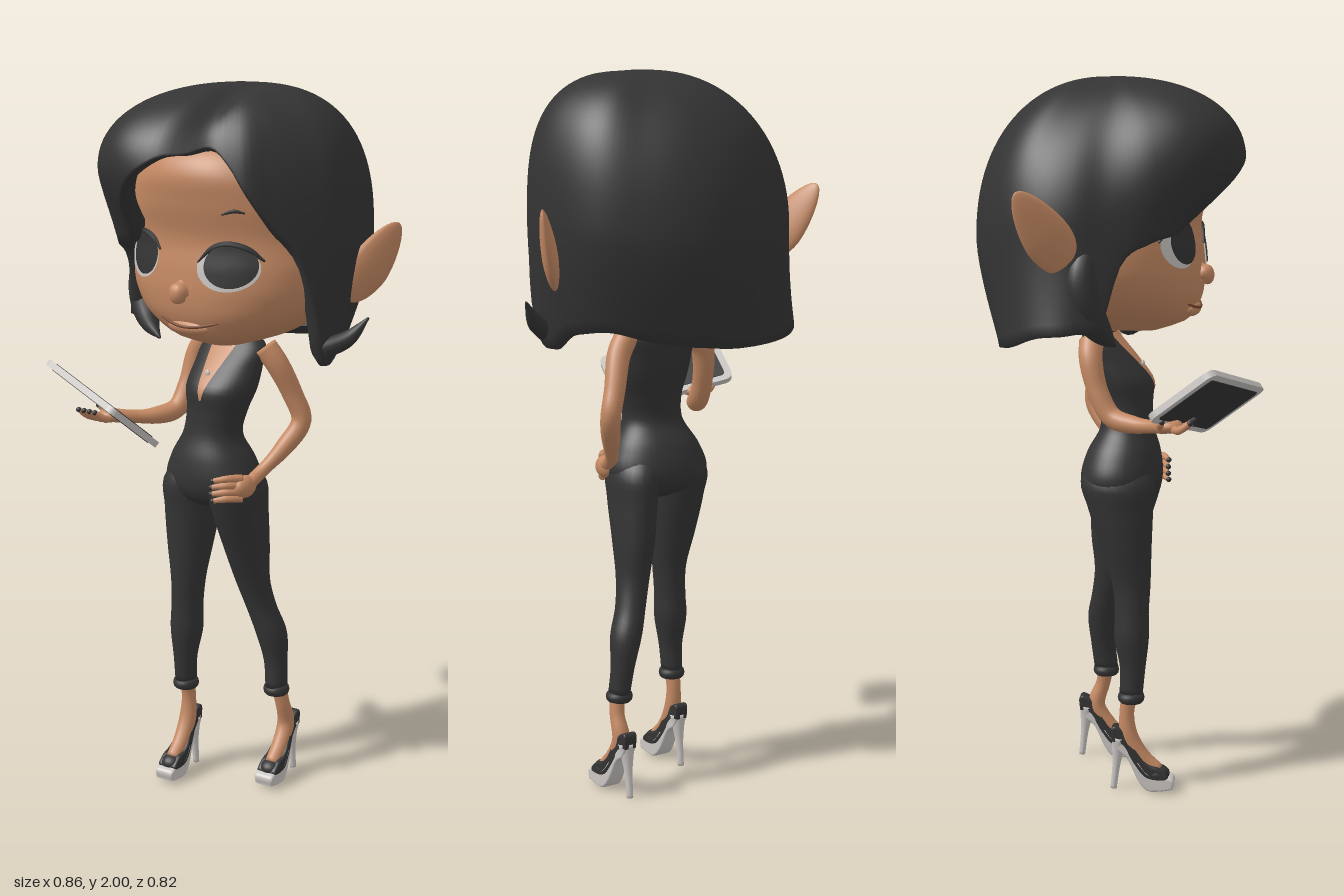
import * as THREE from 'three';

const V = (p) => new THREE.Vector3(...p);
const mat = (name, color, side = THREE.DoubleSide) => {
  const m = new THREE.MeshStandardMaterial({ color, side });
  m.name = name;
  return m;
};

// Smooth interpolation of table rows [key, ...values]
function spline(table) {
  const size = table[0].length - 1;
  const it = new THREE.CubicInterpolant(table.map((r) => r[0]), table.flatMap((r) => r.slice(1)), size, new Array(size).fill(0));
  return (k) => [...it.evaluate(k)];
}

// Surface through closed rings, with optional end caps
function skinRings(rings, caps = true) {
  const n = rings[0].length, pos = rings.flat().flatMap((p) => [p.x, p.y, p.z]), index = [];
  for (let i = 0; i < rings.length - 1; i++) for (let j = 0; j < n; j++) {
    const a = i * n + j, b = i * n + (j + 1) % n;
    index.push(a, b, a + n, b, b + n, a + n);
  }
  if (caps) for (const end of [0, rings.length - 1]) {
    const c = rings[end].reduce((s, p) => s.add(p), new THREE.Vector3()).divideScalar(n);
    const k = pos.length / 3;
    pos.push(c.x, c.y, c.z);
    for (let j = 0; j < n; j++) {
      const a = end * n + j, b = end * n + (j + 1) % n;
      if (end) index.push(a, b, k); else index.push(b, a, k);
    }
  }
  const g = new THREE.BufferGeometry();
  g.setAttribute('position', new THREE.Float32BufferAttribute(pos, 3));
  g.setIndex(index);
  g.computeVertexNormals();
  return g;
}

// Horizontal cross-sections [y, centre x, centre z, half width, half depth]
function loft(table, power = 2, steps = 40, seg = 40) {
  const f = spline(table), y0 = table[0][0], y1 = table[table.length - 1][0];
  const e = (v) => Math.sign(v) * Math.abs(v) ** (2 / power);
  return skinRings(Array.from({ length: steps + 1 }, (_, i) => {
    const y = y0 + (y1 - y0) * i / steps, [cx, cz, rx, rz] = f(y);
    return Array.from({ length: seg }, (_, j) => {
      const a = j / seg * Math.PI * 2;
      return new THREE.Vector3(cx + rx * e(Math.sin(a)), y, cz + rz * e(Math.cos(a)));
    });
  }));
}

// Front z of a lofted surface at x, y
function frontOf(table, power = 2) {
  const f = spline(table);
  return (x, y) => {
    const [cx, cz, rx, rz] = f(y);
    return cz + rz * Math.max(0, 1 - Math.abs((x - cx) / rx) ** power) ** (1 / power);
  };
}

// Tapered tube along points
function limb(points, radii, seg = 14) {
  const steps = points.length * 6, curve = new THREE.CatmullRomCurve3(points.map(V));
  const fr = curve.computeFrenetFrames(steps), r = spline(radii.map((v, i) => [i / (radii.length - 1), v]));
  return skinRings(Array.from({ length: steps + 1 }, (_, i) => {
    const c = curve.getPointAt(i / steps), [rad] = r(i / steps);
    return Array.from({ length: seg }, (_, j) => {
      const a = j / seg * Math.PI * 2;
      return c.clone().addScaledVector(fr.normals[i], rad * Math.cos(a)).addScaledVector(fr.binormals[i], rad * Math.sin(a));
    });
  }));
}

// Lay a flat geometry on a surface: map gives x, y from local coordinates
function decal(geo, map, surf, off) {
  const p = geo.attributes.position;
  for (let i = 0; i < p.count; i++) {
    const [x, y] = map(p.getX(i), p.getY(i));
    p.setXYZ(i, x, y, surf(x, y) + off);
  }
  geo.computeVertexNormals();
  return geo;
}

const HEAD = [[1.305, .05, .02, .05, .07], [1.33, .05, .01, .13, .155], [1.38, .045, 0, .225, .205], [1.45, .04, -.025, .285, .245],
  [1.52, .038, -.03, .3, .247], [1.6, .035, -.035, .295, .243], [1.7, .035, -.035, .285, .265], [1.78, .04, -.04, .255, .275],
  [1.84, .04, -.05, .21, .24], [1.9, .04, -.06, .12, .12]];
const TORSO = [[.825, -.02, 0, .03, .04], [.845, -.021, .003, .1, .085], [.87, -.022, .004, .137, .105], [.9, -.022, .006, .149, .112], [.97, -.02, .012, .127, .101],
  [1.04, -.015, .02, .088, .074], [1.11, -.005, .012, .09, .077], [1.17, 0, 0, .105, .088], [1.23, 0, -.03, .106, .072],
  [1.29, 0, -.06, .1, .048], [1.32, 0, -.065, .06, .03]];
const LEGS = [
  [[.285, -.095, .05, .03, .033], [.36, -.093, .054, .034, .036], [.45, -.09, .05, .047, .049], [.52, -.088, .05, .045, .048],
    [.6, -.085, .048, .048, .054], [.7, -.088, .035, .063, .07], [.82, -.09, .018, .076, .092], [.9, -.088, .01, .08, .104], [.97, -.06, .012, .05, .07]],
  [[.285, .14, -.08, .03, .035], [.36, .132, -.086, .033, .037], [.45, .118, -.08, .044, .048], [.52, .097, -.064, .042, .047],
    [.6, .08, -.045, .046, .053], [.7, .07, -.03, .056, .075], [.82, .062, -.008, .064, .098], [.9, .053, .002, .071, .105], [.97, .03, .012, .05, .07]],
];
// Hair by azimuth: [degrees, radius, lower edge y, roundness, lower taper, widest y]
const HAIR = [[-180, .37, 1.28, 2.2, .77, 1.56], [-146, .374, 1.27, 2.2, .86, 1.56], [-120, .386, 1.29, 2.1, 1.02, 1.58],
  [-105, .385, 1.32, 1.9, 1.1, 1.58], [-92, .37, 1.33, 1.9, 1.13, 1.58], [-80, .345, 1.36, 2, 1.05, 1.6], [-72, .342, 1.5, 2, .95, 1.64],
  [-58, .36, 1.56, 2.1, .8, 1.7], [-36, .39, 1.595, 2.2, .52, 1.78], [-19, .397, 1.7, 2.2, .52, 1.79], [-4, .386, 1.79, 2.2, .6, 1.77],
  [14, .352, 1.85, 2.4, 1, 1.72], [24, .325, 1.85, 2.6, 1, 1.65], [34, .328, 1.8, 2.7, 1, 1.62], [42, .335, 1.73, 2.8, 1, 1.6],
  [54, .322, 1.64, 3, 1, 1.6], [68, .323, 1.55, 3, 1, 1.6], [76, .33, 1.42, 3, .97, 1.6], [84, .342, 1.29, 3, .92, 1.6],
  [111, .355, 1.31, 2.8, .83, 1.6], [133, .368, 1.32, 2.6, .77, 1.58], [152, .362, 1.3, 2.3, .76, 1.56], [180, .37, 1.28, 2.2, .77, 1.56]];

function hairGeometry() {
  const f = spline(HAIR), rows = 36, seg = 120, rings = [];
  for (let i = -2; i <= rows; i++) {
    const s = 1 - Math.max(i, 0) / rows;
    rings.push(Array.from({ length: seg }, (_, j) => {
      const deg = -180 + j * 360 / seg, a = deg * Math.PI / 180, [R, edge, n, taper, wide] = f(deg);
      let y = 2 - (2 - edge) * (1 - Math.cos(s * Math.PI / 2));
      let r = y > wide ? R * Math.max(0, 1 - ((y - wide) / (2 - wide)) ** n) ** (1 / n) : R * (1 + (taper - 1) * ((wide - y) / .3) ** 1.5);
      if (i < 0) { r += i * .022; y += i === -2 ? .02 : -.004; } // rolled-in edge
      const x = .03 + r * Math.sin(a), z = -.04 + r * Math.cos(a);
      y -= .022 * Math.exp(-(((x - .11) / .035) ** 2)) * THREE.MathUtils.smoothstep(z, -.1, .12); // parting
      return new THREE.Vector3(x, y, z);
    }));
  }
  return skinRings(rings, false);
}

export function createModel() {
  const root = new THREE.Group();
  const skin = mat('skin', 0xc48963), black = mat('charcoal', 0x343434);
  const grey = mat('lightGrey', 0xcac6c3), lip = mat('lipBrown', 0x75462f);
  const add = (name, geo, m, parent = root) => {
    const mesh = new THREE.Mesh(geo, m);
    mesh.name = name;
    parent.add(mesh);
    return mesh;
  };
  const ball = (name, p, s, m, parent) => {
    const b = add(name, new THREE.SphereGeometry(1, 20, 14), m, parent);
    b.position.set(...p);
    b.scale.set(...s);
    return b;
  };

  // Head, face and hair
  add('head', loft(HEAD, 2.25, 44, 56), skin);
  add('hair', hairGeometry(), black);
  add('hairFlick', limb([[.33, 1.31, -.02], [.38, 1.34, -.07], [.42, 1.395, -.105]], [.028, .022, .003]), black);
  add('sideLock', limb([[-.285, 1.57, -.02], [-.315, 1.47, -.035], [-.305, 1.385, -.02], [-.26, 1.32, .01], [-.205, 1.285, .03]], [.02, .042, .047, .034, .004], 18), black);
  const face = frontOf(HEAD, 2.25);
  const line = (name, pts, radii, m) => add(name, limb(pts.map(([x, y]) => [x, y, face(x, y) + .002]), radii, 8), m);
  const disc = (name, x, y, rx, ry, off, m) =>
    add(name, decal(new THREE.RingGeometry(0, 1, 32, 5), (u, v) => [x + rx * u, y + ry * v], face, off), m);
  for (const [x, y, w, look] of [[-.115, 1.548, .072, .014], [.178, 1.535, .082, .01]]) {
    disc('eyeWhite', x, y, w, .06, .004, grey);
    disc('iris', x + look, y + .007, w - .013, .057, .008, black);
    line('upperLashes', [[x - w, y + .012], [x - w * .5, y + .052], [x, y + .063], [x + w * .6, y + .051], [x + w * 1.05, y + .022]], [.003, .007, .008, .008, .003], black);
  }
  line('eyebrow', [[.17, 1.675], [.2, 1.685], [.225, 1.68]], [.002, .005, .002], black);
  add('nose', limb([[.042, 1.51, .197], [.042, 1.48, .211], [.042, 1.456, .228], [.042, 1.44, .222]], [.008, .017, .029, .015], 20), skin);
  ball('lips', [.045, 1.368, .19], [.07, .022, .024], skin);
  add('mouthLine', limb([[-.055, 1.39, .192], [0, 1.376, .207], [.045, 1.371, .213], [.09, 1.374, .207], [.15, 1.388, .19]], [.002, .004, .004, .004, .002], 8), lip);

  // Pointed ears
  for (const [low, tip] of [[[.34, 1.43, -.115], [.425, 1.635, -.23]], [[-.32, 1.48, -.055], [-.43, 1.695, -.175]]]) {
    const a = V(low), L = V(tip).sub(a), len = L.length(), s = Math.sign(low[0]);
    L.normalize();
    const T = L.clone().cross(V([-.45 * s, 0, .9])).normalize(), W = T.clone().cross(L);
    const g = new THREE.SphereGeometry(1, 20, 20), p = g.attributes.position;
    for (let i = 0; i < p.count; i++) {
      const y = p.getY(i), k = y > -.2 ? 1 - .25 * (y + .2) : 1;
      p.setXYZ(i, p.getX(i) * .022 * k, y * len / 2, p.getZ(i) * .066 * k);
    }
    g.applyMatrix4(new THREE.Matrix4().makeBasis(T, L, W).setPosition(a.addScaledVector(L, len / 2)));
    g.computeVertexNormals();
    add('ear', g, skin);
  }

  // Neck and jumpsuit with V neckline
  add('neck', limb([[0, 1.25, -.065], [.01, 1.31, -.06], [.03, 1.38, -.05]], [.04, .04, .05], 20), skin);
  add('jumpsuitTorso', loft(TORSO, 2.1), black);
  const chest = frontOf(TORSO, 2.1);
  add('neckline', decal(new THREE.PlaneGeometry(1, 1, 8, 12), (u, v) => [u * (.006 + .085 * (v + .5)), 1.222 + v * .16], chest, .004), skin);
  ball('pendant', [0, 1.215, chest(0, 1.215) + .006], [.008, .01, .005], grey);

  // Legs, cuffs, feet and heeled shoes
  LEGS.forEach((table, k) => {
    add('jumpsuitLeg', loft(table, 2, 36, 28), black);
    const [y, cx, cz] = table[0], cuff = add('cuff', new THREE.TorusGeometry(.028, .01, 10, 28), black);
    cuff.rotation.x = Math.PI / 2;
    cuff.scale.z = 1.5;
    cuff.position.set(cx, y - .01, cz);

    const shoe = new THREE.Group(), h = [0, -.157][k], sx = [-.1, .145][k];
    shoe.name = 'shoe';
    shoe.position.set(sx, .01, h);
    shoe.rotation.y = .13;
    root.add(shoe);
    add('foot', limb([[cx - sx - .005, .285, cz - h], [0, .22, cz - h - .012], [0, .15, .045], [0, .09, .08], [0, .05, .125]], [.024, .021, .025, .024, .021], 16), skin, shoe);
    // Side outline pulled across the width, narrower towards the heel
    const side = (name, pts, width, m) => {
      const s = new THREE.Shape();
      s.moveTo(-pts[0][0], pts[0][1]);
      s.splineThru(pts.slice(1).map(([z, yy]) => new THREE.Vector2(-z, yy)));
      const g = new THREE.ExtrudeGeometry(s, { depth: width - .016, bevelSize: .006, bevelThickness: .008, bevelSegments: 3, curveSegments: 30 });
      g.translate(0, 0, -(width - .016) / 2).rotateY(Math.PI / 2);
      const p = g.attributes.position;
      for (let i = 0; i < p.count; i++) p.setX(i, p.getX(i) * (.66 + .34 * THREE.MathUtils.smoothstep(p.getZ(i), .02, .11)));
      add(name, g, m, shoe);
    };
    side('sole', [[.165, .006], [.13, 0], [.1, .002], [.075, .03], [.045, .09], [.015, .115], [.002, .15], [.03, .145], [.065, .085], [.1, .045], [.14, .034], [.167, .025], [.165, .006]], .06, grey);
    side('upper', [[.002, .14], [0, .17], [.012, .172], [.04, .15], [.075, .09], [.1, .067], [.13, .056], [.15, .035], [.1, .038], [.065, .075], [.03, .128], [.002, .14]], .062, black);
    ball('toeCap', [0, .042, .125], [.032, .024, .036], black, shoe);
    add('heel', limb([[0, .145, .018], [0, .08, .01], [0, -.008, 0]], [.024, .012, .009]), grey, shoe);
  });

  // Finger with a painted nail at the tip
  const finger = (pts) => {
    add('finger', limb(pts, [.012, .0105, .007], 10), skin);
    ball('nail', pts[2], [.0075, .0075, .0075], black);
  };

  // Arm with hand on hip
  add('hipArm', limb([[.105, 1.285, -.06], [.135, 1.24, -.075], [.165, 1.15, -.11], [.185, 1.075, -.125], [.16, 1, -.075], [.13, .94, -.015], [.122, .915, .03]],
    [.034, .032, .029, .028, .026, .019, .02], 18), skin);
  ball('hipHand', [.12, .908, .045], [.025, .032, .042], skin);
  for (let i = 0; i < 4; i++) {
    const y = .935 - i * .019;
    finger([[.122, y, .06], [.1, y + .002, .098], [.06 + Math.abs(i - 1.5) * .006, y - .004, .122]]);
  }

  // Arm holding the tablet
  add('tabletArm', limb([[-.105, 1.285, -.06], [-.135, 1.24, -.055], [-.15, 1.15, -.03], [-.158, 1.085, .01], [-.185, 1.07, .08], [-.225, 1.075, .15], [-.245, 1.08, .18]],
    [.034, .032, .029, .029, .026, .019, .02], 18), skin);
  ball('tabletHand', [-.25, 1.082, .19], [.036, .02, .036], skin);
  for (let i = 0; i < 4; i++) {
    const x = -.235 - i * .021;
    finger([[-.25, 1.08, .19], [x, 1.078, .225], [x - .012, 1.1, .255]]);
  }
  finger([[-.25, 1.08, .175], [-.28, 1.085, .17], [-.305, 1.1, .18]]);

  // Tablet with a dark panel on both faces
  const tablet = new THREE.Group(), u = V([.335, -.08, .085]).normalize(), n = u.clone().cross(V([.015, -.13, -.17])).normalize();
  tablet.name = 'tablet';
  tablet.applyMatrix4(new THREE.Matrix4().makeBasis(u, n.clone().cross(u), n).setPosition(-.195, 1.14, .28));
  root.add(tablet);
  const slab = (name, w, h, r, d, z, m) => {
    const s = new THREE.Shape(), x = w / 2, y = h / 2;
    s.moveTo(-x + r, -y).lineTo(x - r, -y).quadraticCurveTo(x, -y, x, -y + r).lineTo(x, y - r).quadraticCurveTo(x, y, x - r, y);
    s.lineTo(-x + r, y).quadraticCurveTo(-x, y, -x, y - r).lineTo(-x, -y + r).quadraticCurveTo(-x, -y, -x + r, -y);
    add(name, new THREE.ExtrudeGeometry(s, { depth: d, bevelEnabled: false }), m, tablet).position.z = z - d / 2;
  };
  slab('tabletFrame', .357, .217, .03, .018, 0, grey);
  for (const s of [1, -1]) slab('tabletPanel', .315, .178, .015, .004, s * .009, black);
  return root;
}
